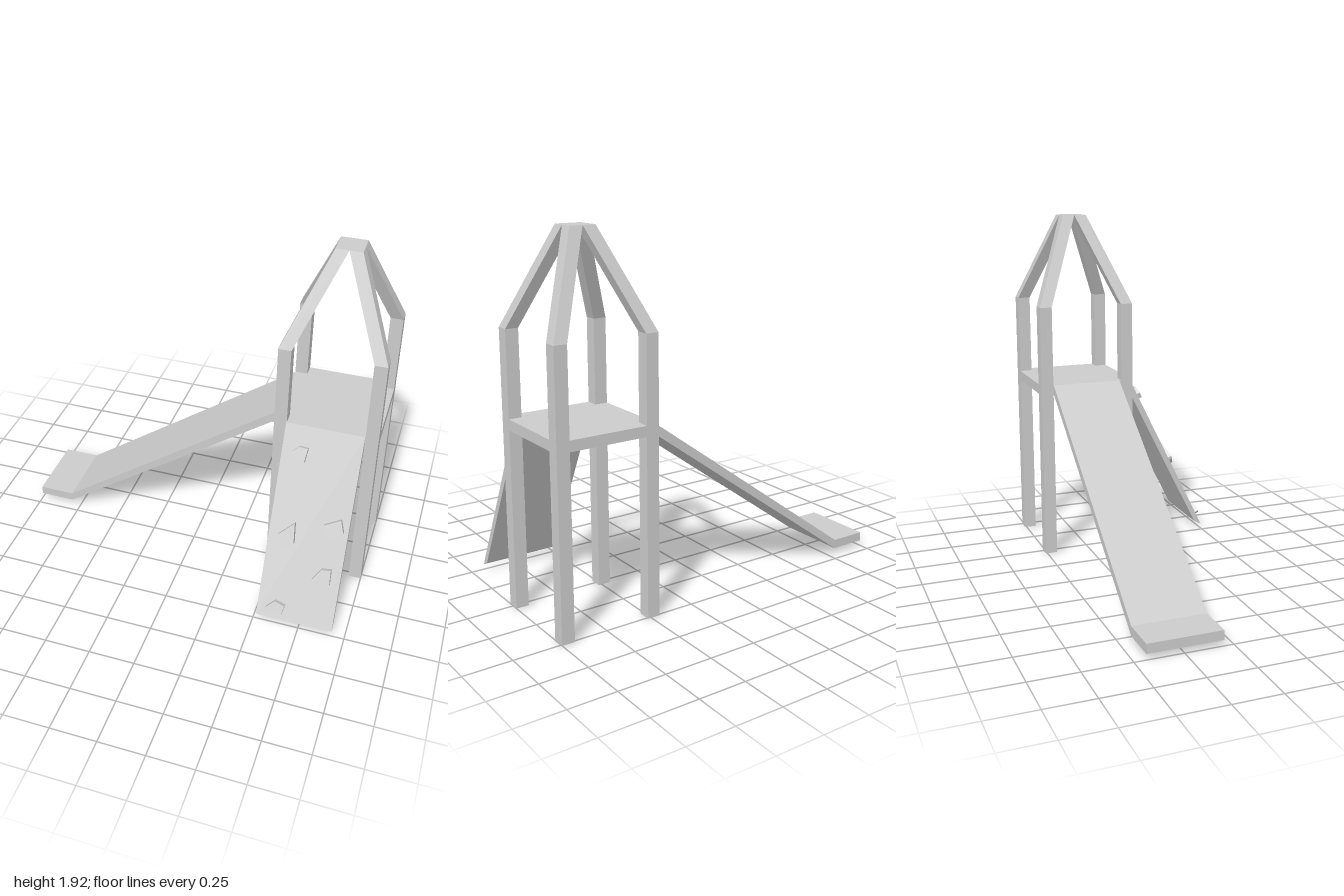
import * as THREE from 'three';

const CX = 0.725, CZ = -0.24;        // tower centre
const HX = 0.275, HZ = 0.27;         // tower half sizes
const POST = 0.068, POST_TOP = 1.43, PEAK = 1.92;
const DECK_TOP = 0.99, DECK_BOTTOM = 0.935;

const material = new THREE.MeshStandardMaterial({ color: 0xcccccc, flatShading: true });

function add(parent, name, geometry, x = 0, y = 0, z = 0) {
  const mesh = new THREE.Mesh(geometry, material);
  mesh.name = name;
  mesh.position.set(x, y, z);
  parent.add(mesh);
  return mesh;
}

function prism(points, depth) {
  const shape = new THREE.Shape(points.map(([x, y]) => new THREE.Vector2(x, y)));
  return new THREE.ExtrudeGeometry(shape, { depth, bevelEnabled: false });
}

// Square beam whose upper end is slid sideways, keeping both ends level
function leaningBeam(height, dx, dz) {
  const geometry = new THREE.BoxGeometry(POST, height, POST);
  const p = geometry.attributes.position;
  for (let i = 0; i < p.count; i++) {
    if (p.getY(i) > 0) p.setXYZ(i, p.getX(i) + dx, p.getY(i), p.getZ(i) + dz);
  }
  geometry.computeVertexNormals();
  return geometry;
}

export function createModel() {
  const model = new THREE.Group();
  model.name = 'playgroundTower';

  // Four posts, each with a rafter leaning in to the peak
  const postX = HX - POST / 2, postZ = HZ - POST / 2;
  for (const sx of [-1, 1]) {
    for (const sz of [-1, 1]) {
      const x = CX + sx * postX, z = CZ + sz * postZ;
      const rise = PEAK - POST_TOP;
      add(model, 'post', new THREE.BoxGeometry(POST, POST_TOP, POST), x, POST_TOP / 2, z);
      add(model, 'rafter',
        leaningBeam(rise, -sx * (postX - POST / 2), -sz * (postZ - POST / 2)),
        x, POST_TOP + rise / 2, z);
    }
  }

  // Deck, flush with the outside of the posts
  add(model, 'platform', new THREE.BoxGeometry(2 * HX, DECK_TOP - DECK_BOTTOM, 2 * HZ),
    CX, (DECK_TOP + DECK_BOTTOM) / 2, CZ);

  // Slide with a level run-out
  add(model, 'slide', prism([
    [-1, 0.03], [-0.8, 0.03], [0.45, DECK_BOTTOM],
    [0.45, DECK_TOP], [-0.8, 0.08], [-1, 0.08],
  ], 0.39), 0, 0, -0.44);

  // Sloping climbing wall: side profile in (z, y), turned to run along x
  const wallTop = [0.03, DECK_TOP], wallFoot = [0.498, 0.03];
  const wall = prism([wallTop, [0.03, 0.91], [0.454, 0.054], wallFoot], 0.415);
  wall.rotateY(-Math.PI / 2);
  add(model, 'climbingWall', wall, 0.93, 0, 0);

  // Five-sided holds standing square off the wall; outlines are x, height
  const tilt = Math.atan2(wallFoot[0] - wallTop[0], wallTop[1] - wallFoot[1]);
  const thick = 0.034;
  const holds = new THREE.Group();
  holds.name = 'climbingHolds';
  holds.position.set(0, DECK_TOP, wallTop[0]);
  holds.rotation.x = -tilt;
  const outlines = [
    [[0.575, 0.88], [0.607, 0.907], [0.655, 0.905], [0.645, 0.835], [0.58, 0.85]],
    [[0.57, 0.47], [0.65, 0.54], [0.66, 0.44], [0.615, 0.415], [0.57, 0.455]],
    [[0.80, 0.56], [0.885, 0.60], [0.907, 0.54], [0.86, 0.505], [0.808, 0.535]],
    [[0.783, 0.285], [0.825, 0.345], [0.877, 0.35], [0.88, 0.275], [0.843, 0.215]],
    [[0.565, 0.10], [0.61, 0.14], [0.665, 0.125], [0.655, 0.08], [0.58, 0.085]],
  ];
  for (const outline of outlines) {
    const flat = outline.map(([x, y]) =>
      [x, (y - DECK_TOP - thick * Math.sin(tilt)) / Math.cos(tilt)]);
    add(holds, 'climbingHold', prism(flat, thick));
  }
  model.add(holds);

  return model;
}
